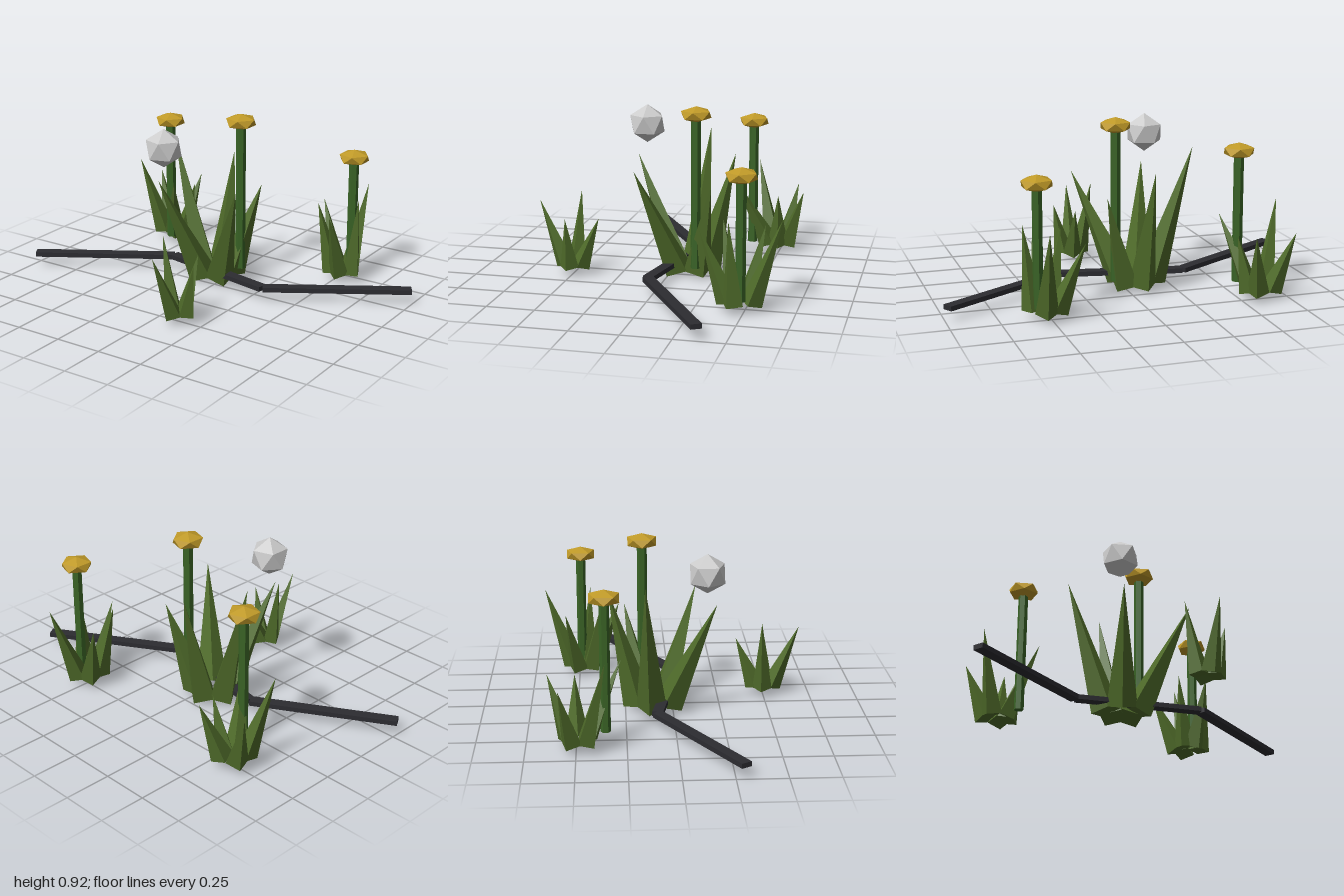
import * as THREE from 'three';

const mat = (color) => new THREE.MeshStandardMaterial({ color, flatShading: true });

export function createModel() {
  const group = new THREE.Group();
  const leafMat = mat(0x4f6b2a), stemMat = mat(0x3a6426);
  const flowerMat = mat(0xc09a28), pipeMat = mat(0x2c2c31), stoneMat = mat(0xcccccc);

  const add = (parent, name, geometry, material) => {
    const mesh = new THREE.Mesh(geometry, material);
    mesh.name = name;
    parent.add(mesh);
    return mesh;
  };

  // Icosahedron standing on a corner
  const ico = (r) => new THREE.IcosahedronGeometry(r, 0).rotateZ(-Math.atan(2 / (1 + Math.sqrt(5))));

  // Four-sided blade from a tilted base to its tip, one ridge facing outwards
  const blade = (clump, base, tip, radius) => {
    const axis = tip.clone().sub(base);
    const length = axis.length();
    axis.normalize();
    const side = new THREE.Vector3().crossVectors(axis, new THREE.Vector3(tip.x - base.x, 0, tip.z - base.z)).normalize();
    const out = new THREE.Vector3().crossVectors(side, axis);
    const geometry = new THREE.ConeGeometry(radius, length, 4).translate(0, length / 2, 0);
    geometry.applyMatrix4(new THREE.Matrix4().makeBasis(side, axis, out).setPosition(base));
    add(clump, 'grassBlade', geometry, leafMat);
  };

  // Grass clumps: centre, base height, ring offset, blade radius, blade tips
  const clumps = [
    { name: 'largeGrassClump', x: -0.06, z: -0.1, y: 0.035, ring: 0.085, radius: 0.08,
      tips: [[-0.09, 0.65, -0.335], [-0.355, 0.74, -0.15], [-0.2, 0.605, 0.22], [0.22, 0.595, 0.137], [0.137, 0.52, -0.25]] },
    { name: 'rightBackGrassClump', x: -0.6, z: -0.49, y: 0.05, ring: 0.06, radius: 0.058,
      tips: [[-0.515, 0.36, -0.64], [-0.757, 0.355, -0.58], [-0.742, 0.485, -0.355], [-0.457, 0.41, -0.275], [-0.47, 0.34, -0.505]] },
    { name: 'leftBackGrassClump', x: 0.525, z: -0.475, y: 0.045, ring: 0.06, radius: 0.058,
      tips: [[0.553, 0.48, -0.687], [0.345, 0.39, -0.57], [0.418, 0.435, -0.37], [0.537, 0.4, -0.275], [0.625, 0.47, -0.435]] },
    { name: 'frontGrassClump', x: 0.12, z: 0.5, y: 0.05, ring: 0.045, radius: 0.052,
      tips: [[0.136, 0.315, 0.35], [0.01, 0.435, 0.478], [0.094, 0.39, 0.685], [0.217, 0.32, 0.51]] },
  ];
  for (const c of clumps) {
    const clump = new THREE.Group();
    clump.name = c.name;
    for (const t of c.tips) {
      const tip = new THREE.Vector3(...t);
      const base = new THREE.Vector3(tip.x - c.x, 0, tip.z - c.z).setLength(c.ring);
      blade(clump, base.add(new THREE.Vector3(c.x, c.y, c.z)), tip, c.radius);
    }
    group.add(clump);
  }

  // Flowers: straight stem with a flattened head
  for (const [x, y, z] of [[0.065, 0.877, -0.155], [-0.53, 0.748, -0.355], [0.563, 0.682, -0.485]]) {
    const flower = new THREE.Group();
    flower.name = 'flower';
    const bottom = 0.06;
    add(flower, 'stem', new THREE.CylinderGeometry(0.026, 0.026, y - bottom, 6), stemMat).position.set(x, (y + bottom) / 2, z);
    add(flower, 'flowerHead', ico(1).scale(0.088, 0.0425, 0.088), flowerMat).position.set(x, y, z);
    group.add(flower);
  }

  // Floating stone
  add(group, 'floatingStone', ico(0.103), stoneMat).position.set(-0.2, 0.77, 0.17);

  // Bent strip in three straight pieces
  const path = [[-0.986, 0.3], [-0.325, -0.09], [0.325, 0.037], [0.986, -0.36]];
  for (let i = 0; i < path.length - 1; i++) {
    const [x0, z0] = path[i], [x1, z1] = path[i + 1];
    const strip = add(group, 'stripSegment', new THREE.BoxGeometry(Math.hypot(x1 - x0, z1 - z0), 0.025, 0.056), pipeMat);
    strip.position.set((x0 + x1) / 2, 0.065, (z0 + z1) / 2);
    strip.rotation.y = -Math.atan2(z1 - z0, x1 - x0);
  }
  return group;
}
